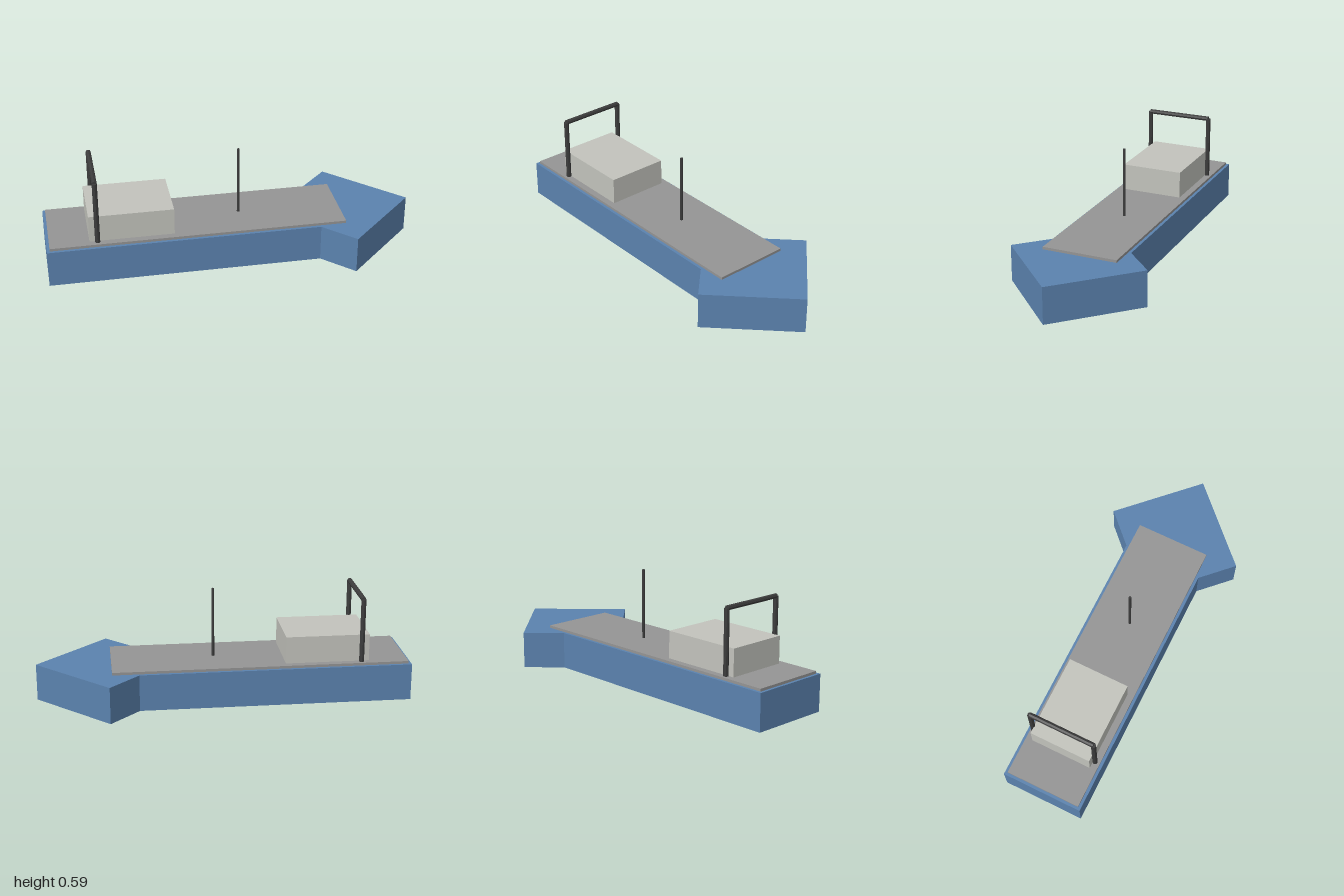
import * as THREE from 'three';

const material = (name, color) => {
  const m = new THREE.MeshStandardMaterial({ color });
  m.name = name;
  return m;
};

export function createModel() {
  const boat = new THREE.Group();
  boat.name = 'boat';
  const blue = material('hullBlue', 0x5b82ae);
  const grey = material('deckGrey', 0x949494);
  const pale = material('cabinPale', 0xc2c3bc);
  const dark = material('metalDark', 0x3c3c3c);
  dark.flatShading = true;

  const add = (name, geometry, mat, x, y, z, parent = boat) => {
    const mesh = new THREE.Mesh(geometry, mat);
    mesh.name = name;
    mesh.position.set(x, y, z);
    parent.add(mesh);
    return mesh;
  };

  // Hull: long straight body ending in a broad diamond bow
  const halfWidth = 0.223, bowX = 0.618, bowHalf = 0.382;
  const neckX = bowX - bowHalf + halfWidth;
  const outline = new THREE.Shape([
    [-1, -halfWidth], [neckX, -halfWidth], [bowX, -bowHalf], [1, 0],
    [bowX, bowHalf], [neckX, halfWidth], [-1, halfWidth],
  ].map(([x, y]) => new THREE.Vector2(x, y)));
  const hull = new THREE.ExtrudeGeometry(outline, { depth: 0.2, bevelEnabled: false });
  hull.rotateX(-Math.PI / 2);
  add('hull', hull, blue, 0, 0, 0);

  // Deck and cabin
  add('deck', new THREE.BoxGeometry(1.585, 0.014, 0.414), grey, -0.1925, 0.207, 0);
  add('cabin', new THREE.BoxGeometry(0.45, 0.148, 0.34), pale, -0.55, 0.287, 0);

  // Mast
  add('mast', new THREE.CylinderGeometry(0.0075, 0.0075, 0.385, 8), dark, 0.048, 0.4025, 0);

  // Stern frame: two posts and a crossbar
  const frame = new THREE.Group();
  frame.name = 'sternFrame';
  boat.add(frame);
  for (const [name, side] of [['leftPost', -1], ['rightPost', 1]]) {
    add(name, new THREE.CylinderGeometry(0.0135, 0.0135, 0.35, 8), dark, -0.733, 0.384, side * 0.18, frame);
  }
  const bar = add('crossbar', new THREE.CylinderGeometry(0.0135, 0.0135, 0.36, 8), dark, -0.733, 0.559, 0, frame);
  bar.rotation.x = Math.PI / 2;

  return boat;
}
